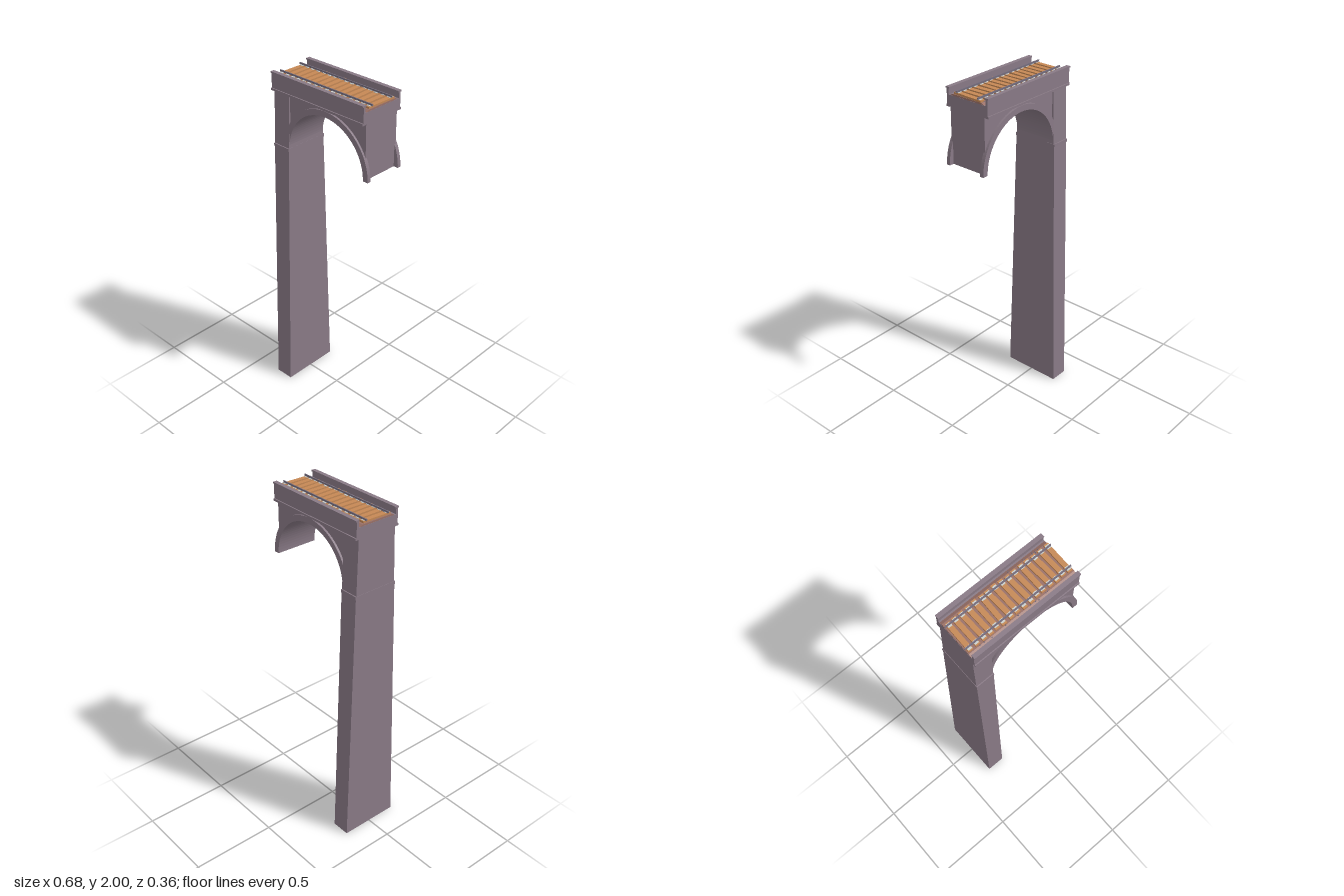
import * as THREE from 'three';

const stone = new THREE.MeshStandardMaterial({ color: 0x897a86 });
const timber = new THREE.MeshStandardMaterial({ color: 0xc58855 });
const ballast = new THREE.MeshStandardMaterial({ color: 0x9a7168 });
const steel = new THREE.MeshStandardMaterial({ color: 0x746c7c });
const plate = new THREE.MeshStandardMaterial({ color: 0xccd0cc });
stone.name = 'stone';
timber.name = 'timber';
ballast.name = 'ballast';
steel.name = 'steel';
plate.name = 'pale plate';

const X0 = -0.342, X1 = 0.312, PIER = -0.23; // deck ends and inner pier face
const CX = 0.037, SPRING = 1.583, R = 0.268; // arch centre and radius

let seed = 7;
const rand = () => (seed = (seed * 16807) % 2147483647) / 2147483647;

// Box from min/max bounds
function box(name, mat, x0, x1, y0, y1, z0, z1) {
  const g = new THREE.BoxGeometry(x1 - x0, y1 - y0, z1 - z0);
  g.translate((x0 + x1) / 2, (y0 + y1) / 2, (z0 + z1) / 2);
  const m = new THREE.Mesh(g, mat);
  m.name = name;
  return m;
}

// Box whose half depth runs from zb at the bottom to zt at the top
function tapered(name, mat, x0, x1, y0, y1, zb, zt) {
  const m = box(name, mat, x0, x1, y0, y1, -1, 1);
  const p = m.geometry.attributes.position;
  for (let i = 0; i < p.count; i++) {
    const t = (p.getY(i) - y0) / (y1 - y0);
    p.setZ(i, Math.sign(p.getZ(i)) * (zb + (zt - zb) * t));
  }
  m.geometry.computeVertexNormals();
  return m;
}

function extrude(name, shape, z0, z1) {
  const g = new THREE.ExtrudeGeometry(shape, { depth: z1 - z0, bevelEnabled: false, curveSegments: 24 });
  g.translate(0, 0, z0);
  const m = new THREE.Mesh(g, stone);
  m.name = name;
  return m;
}

export function createModel() {
  const model = new THREE.Group();
  model.name = 'viaductSection';

  // Pier, its shoulder and the upper pilaster
  model.add(tapered('pier', stone, -0.34, PIER, 0, 1.565, 0.178, 0.134));
  model.add(box('pierLedge', stone, -0.342, PIER + 0.001, 1.565, SPRING, -0.137, 0.137));
  model.add(tapered('pilaster', stone, -0.34, PIER, SPRING, 1.9, 0.131, 0.121));

  // Vault with the spandrel walls above it
  const wall = new THREE.Shape();
  wall.moveTo(X1 - 0.002, SPRING);
  wall.lineTo(X1 - 0.002, 1.9);
  wall.lineTo(PIER - 0.02, 1.9);
  wall.lineTo(PIER - 0.02, SPRING);
  wall.lineTo(CX - R, SPRING);
  wall.absarc(CX, SPRING, R, Math.PI, 0, true);
  model.add(extrude('archVault', wall, -0.115, 0.115));

  // Raised arch rings on both faces
  const ring = new THREE.Shape();
  ring.moveTo(CX + R, SPRING);
  ring.lineTo(CX + 0.301, SPRING);
  ring.absarc(CX, SPRING, 0.301, 0, Math.PI, false);
  ring.lineTo(CX - R, SPRING);
  ring.absarc(CX, SPRING, R, Math.PI, 0, true);
  model.add(extrude('frontArchRing', ring, 0.106, 0.127));
  model.add(extrude('backArchRing', ring, -0.127, -0.106));

  // Deck with parapets and copings
  model.add(box('deck', stone, X0, X1, 1.897, 1.96, -0.137, 0.137));
  for (const s of [-1, 1]) {
    const strip = (name, y0, y1, a, b) =>
      model.add(box(name, stone, X0, X1, y0, y1, Math.min(s * a, s * b), Math.max(s * a, s * b)));
    strip('deckLip', 1.895, 1.907, 0.12, 0.143);
    strip('parapet', 1.958, 1.994, 0.124, 0.137);
    strip('parapetCoping', 1.992, 2, 0.119, 0.143);
  }

  // Ballast bed with sloped shoulders
  model.add(tapered('ballastBed', ballast, X0 + 0.001, X1 - 0.001, 1.955, 1.969, 0.124, 0.098));

  // Sleepers, slightly askew, each with pale plates below the rails
  for (let i = 0; i < 16; i++) {
    const sleeper = new THREE.Group();
    sleeper.name = 'sleeper';
    const half = 0.089 + rand() * 0.006;
    sleeper.add(box('sleeperBeam', timber, -0.0135, 0.0135, 1.962, 1.979, -half, half));
    for (const s of [-1, 1])
      sleeper.add(box('railPlate', plate, -0.0115, 0.0115, 1.978, 1.981, s * 0.073 - 0.011, s * 0.073 + 0.011));
    sleeper.position.set(-0.32 + i * 0.041, 0, (rand() - 0.5) * 0.008);
    sleeper.rotation.y = (rand() - 0.5) * 0.09;
    model.add(sleeper);
  }

  // Rails: foot, web and head
  for (const s of [-1, 1]) {
    const rail = new THREE.Group();
    rail.name = 'rail';
    const z = s * 0.072;
    rail.add(box('railFoot', steel, X0, X1, 1.98, 1.982, z - 0.004, z + 0.004));
    rail.add(box('railWeb', steel, X0, X1, 1.981, 1.987, z - 0.0015, z + 0.0015));
    rail.add(box('railHead', steel, X0, X1, 1.986, 1.99, z - 0.003, z + 0.003));
    model.add(rail);
  }

  // Loose stones beside the sleepers
  const pebble = new THREE.IcosahedronGeometry(0.004, 0);
  for (let i = 0; i < 20; i++) {
    const m = new THREE.Mesh(pebble, steel);
    m.name = 'looseStone';
    m.position.set(-0.32 + rand() * 0.61, 1.968, (i % 2 ? 1 : -1) * (0.092 + rand() * 0.012));
    m.rotation.set(rand() * 3, rand() * 3, 0);
    model.add(m);
  }
  return model;
}
